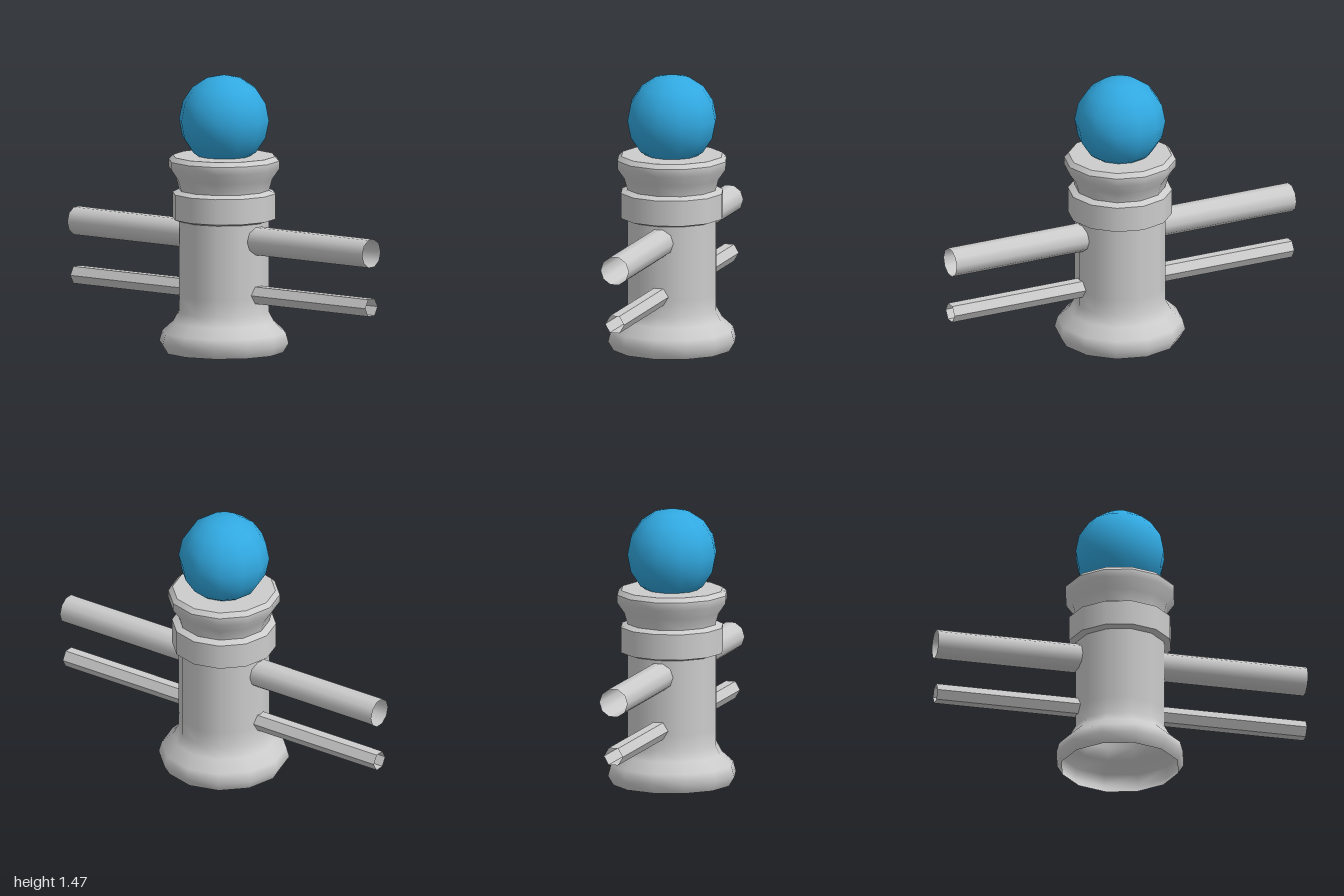
import * as THREE from 'three';

export function createModel() {
  const model = new THREE.Group();
  model.name = 'post';

  const grey = new THREE.MeshStandardMaterial({ color: 0xcccccc, side: THREE.DoubleSide });
  grey.name = 'light grey';
  const facetedGrey = grey.clone();
  facetedGrey.flatShading = true;
  const blue = new THREE.MeshStandardMaterial({ color: 0x31a9e1 });
  blue.name = 'blue';

  function add(name, geometry, material) {
    const mesh = new THREE.Mesh(geometry, material);
    mesh.name = name;
    model.add(mesh);
    return mesh;
  }

  // Twelve-sided turned section; separate sections keep their shared edges crisp
  function turned(name, profile) {
    const points = profile.map(([r, y]) => new THREE.Vector2(r, y));
    return add(name, new THREE.LatheGeometry(points, 12), grey);
  }

  // Flared foot, open underneath, running up into the column
  turned('footAndColumn', [
    [0.315, 0], [0.345, 0.05], [0.33, 0.105], [0.27, 0.16], [0.24, 0.215], [0.24, 0.3], [0.24, 0.7],
  ]);

  // Collar
  turned('collarUnderside', [[0.24, 0.697], [0.275, 0.708]]);
  turned('collarBand', [[0.275, 0.708], [0.275, 0.843]]);
  turned('collarTop', [[0.275, 0.843], [0.24, 0.86]]);

  // Flared capital with a bevelled, closed top
  turned('capital', [[0.24, 0.86], [0.257, 0.92], [0.295, 0.975], [0.295, 1.017]]);
  turned('capitalBevel', [[0.295, 1.017], [0.272, 1.04]]);
  turned('capitalTop', [[0.272, 1.04], [0, 1.04]]);

  // Ball resting in the capital
  add('ball', new THREE.SphereGeometry(0.24, 12, 8), blue).position.y = 1.23;

  // Hollow rails on both sides: a round one above a hexagonal one
  for (const side of [-1, 1]) {
    const sideName = side > 0 ? 'left' : 'right';
    for (const [kind, radius, sides, y, material] of [
      ['UpperRail', 0.077, 10, 0.607, grey],
      ['LowerRail', 0.052, 6, 0.32, facetedGrey],
    ]) {
      const rail = add(sideName + kind, new THREE.CylinderGeometry(radius, radius, 0.8, sides, 1, true), material);
      rail.rotation.z = Math.PI / 2;
      rail.position.set(side * 0.6, y, 0);
    }
  }

  return model;
}
